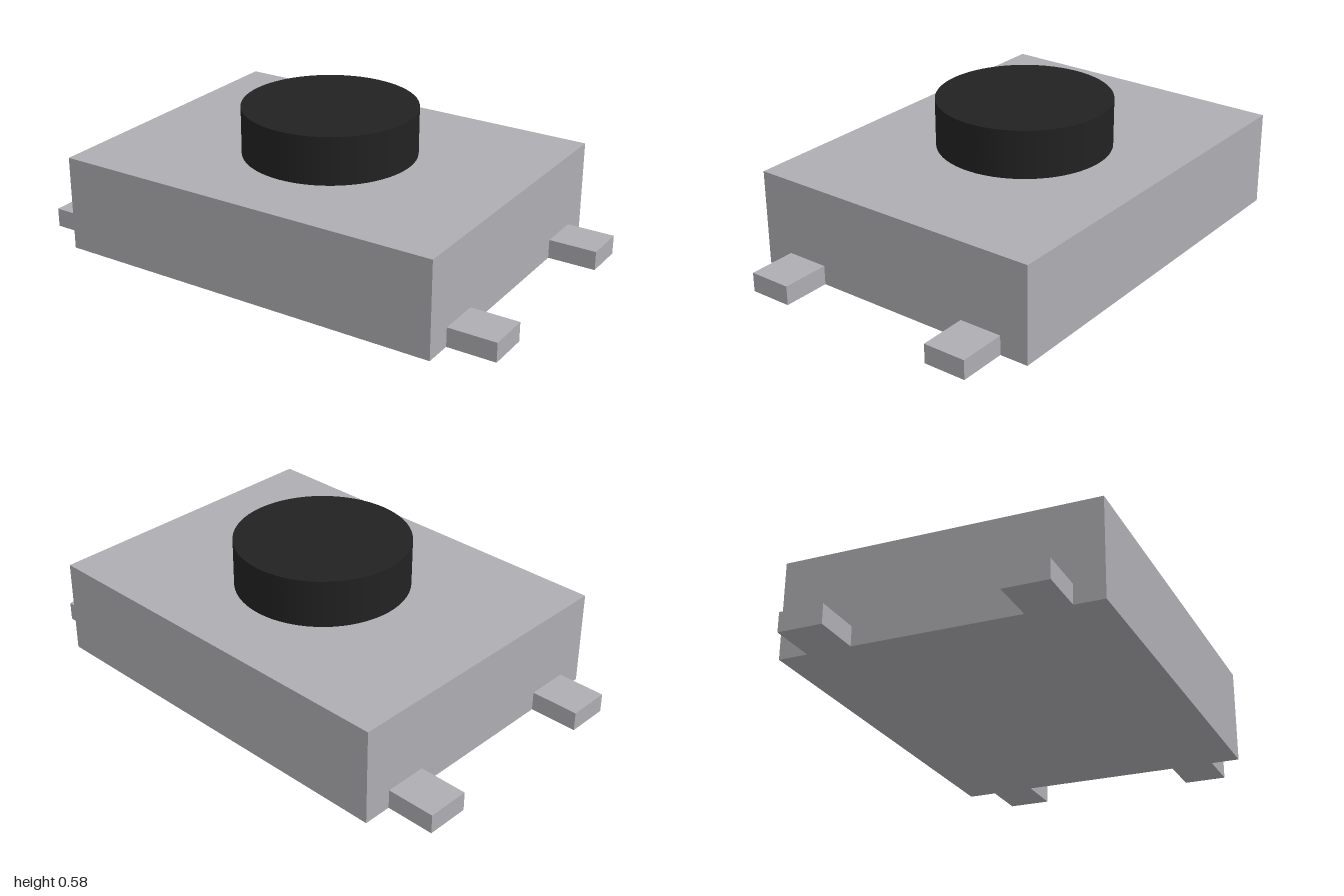
import * as THREE from 'three';

export function createModel() {
  const group = new THREE.Group();
  group.name = 'pushButtonSwitch';

  const metal = new THREE.MeshStandardMaterial({ color: 0xaeadb2 });
  metal.name = 'light grey metal';
  const black = new THREE.MeshStandardMaterial({ color: 0x222222 });
  black.name = 'black plastic';

  const add = (name, geometry, material, x, y, z) => {
    const mesh = new THREE.Mesh(geometry, material);
    mesh.name = name;
    mesh.position.set(x, y, z);
    group.add(mesh);
  };

  // Housing
  const halfWidth = 0.805, bodyHeight = 0.385;
  add('housing', new THREE.BoxGeometry(halfWidth * 2, bodyHeight, 1.23), metal, 0, bodyHeight / 2, 0);

  // Round plunger standing on the housing
  const plungerHeight = 0.193;
  add('plunger', new THREE.CylinderGeometry(0.346, 0.346, plungerHeight, 64), black,
    0, bodyHeight + plungerHeight / 2, 0);

  // Four solder terminals, two on each side
  const legLength = 1 - halfWidth, legHeight = 0.077;
  const legGeometry = new THREE.BoxGeometry(legLength, legHeight, 0.173);
  for (const sx of [1, -1]) {
    for (const sz of [1, -1]) {
      const name = (sz > 0 ? 'front' : 'back') + (sx > 0 ? 'Left' : 'Right') + 'Terminal';
      add(name, legGeometry, metal, sx * (halfWidth + legLength / 2), legHeight / 2, sz * 0.413);
    }
  }

  return group;
}
